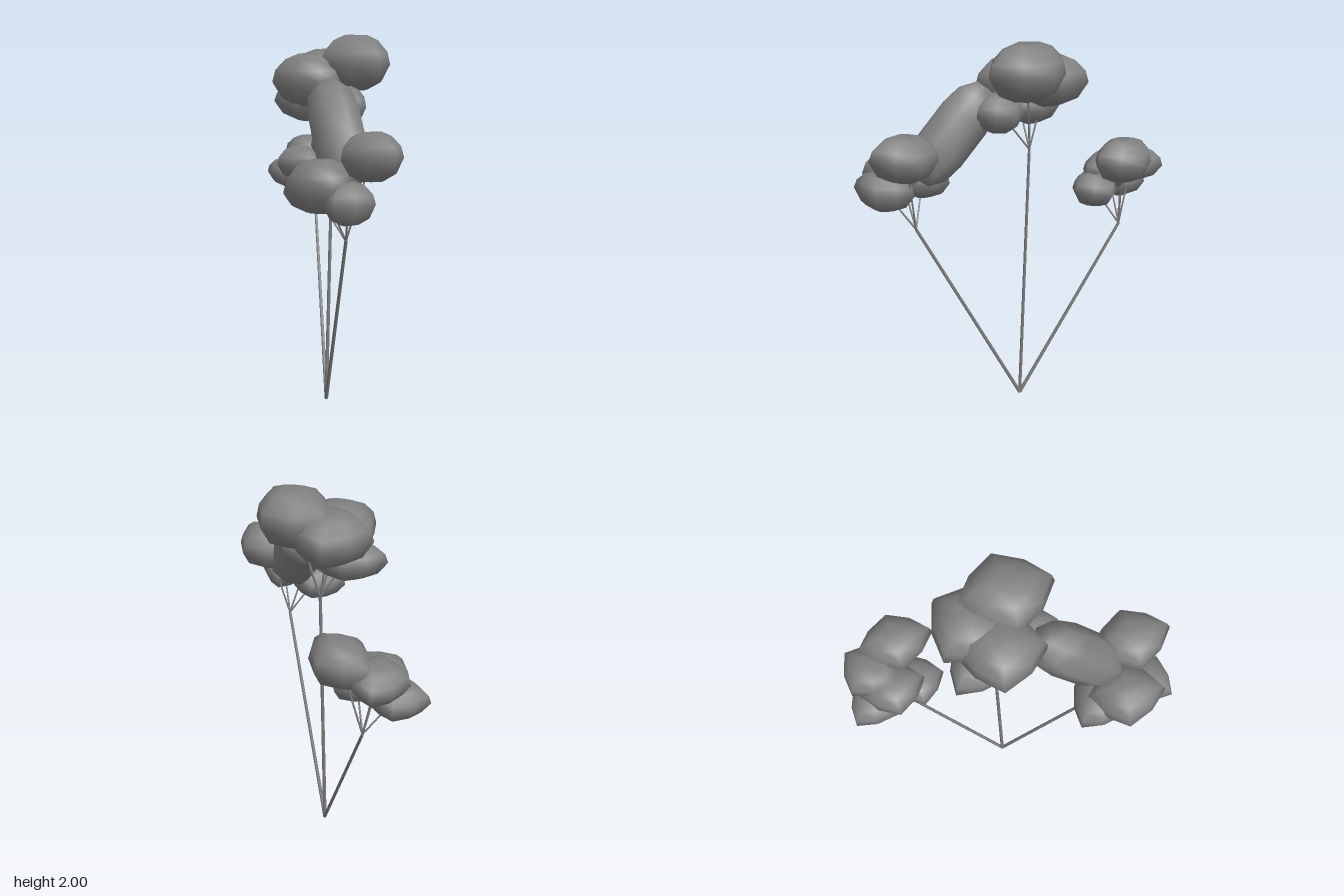
import * as THREE from 'three';
import { mergeVertices } from 'three/addons/utils/BufferGeometryUtils.js';

const UP = new THREE.Vector3(0, 1, 0);

// Eight-sided smooth lump with four pronounced corners, from a half profile [radius, height]
function lump(profile, dip) {
  let geo = new THREE.LatheGeometry(profile.map(([r, y]) => new THREE.Vector2(r, y)), 8);
  const p = geo.attributes.position;
  for (let i = 0; i < p.count; i++) {
    const side = Math.round(Math.atan2(p.getX(i), p.getZ(i)) / (Math.PI / 4));
    const k = side % 2 ? dip : 1;
    p.setXYZ(i, p.getX(i) * k, p.getY(i), p.getZ(i) * k);
  }
  geo.deleteAttribute('uv');
  geo.deleteAttribute('normal');
  geo = mergeVertices(geo, 1e-4);
  geo.computeVertexNormals();
  return geo;
}

const padProfile = [[0, -0.92], [0.35, -1], [0.75, -0.7], [1, -0.05], [0.92, 0.4], [0.66, 0.8], [0.33, 1], [0, 0.9]];
const linkProfile = [[0, -1], [0.48, -0.97], [0.87, -0.72], [1, -0.35], [1, 0.35], [0.87, 0.72], [0.48, 0.97], [0, 1]];

// Each stem ends in a fork that carries foliage pads:
// [centre x, y, z, radius x, y, z, turn about the vertical]
const BASE = [0.01, 0, -0.03];
const DIAG = Math.PI / 4;
const CLUSTERS = [
  { name: 'front', fork: [-0.11, 1.08, 0.52], tilt: -0.12, pads: [
    [-0.02, 1.485, 0.6, 0.16, 0.11, 0.2, 0.1],
    [-0.24, 1.355, 0.535, 0.165, 0.12, 0.195, -0.1],
    [-0.16, 1.295, 0.66, 0.158, 0.095, 0.13, DIAG],
    [-0.225, 1.3, 0.415, 0.145, 0.09, 0.165, DIAG]] },
  { name: 'middle', fork: [0.055, 1.45, -0.055], tilt: 0, pads: [
    [0.15, 1.865, 0.02, 0.2, 0.135, 0.235, 0.12],
    [-0.07, 1.78, -0.04, 0.2, 0.13, 0.21, -0.12],
    [0.05, 1.66, 0.115, 0.125, 0.095, 0.145, 0.12],
    [0.065, 1.8, -0.15, 0.21, 0.125, 0.21, DIAG],
    [-0.05, 1.66, -0.13, 0.15, 0.095, 0.2, DIAG]] },
  { name: 'back', fork: [0.16, 0.975, -0.58], tilt: -0.04, pads: [
    [0.25, 1.37, -0.515, 0.15, 0.11, 0.195, 0.12],
    [0.15, 1.31, -0.66, 0.165, 0.09, 0.155, DIAG],
    [0.105, 1.185, -0.445, 0.14, 0.088, 0.14, 0.12],
    [0.04, 1.185, -0.67, 0.14, 0.085, 0.16, DIAG],
    [0.06, 1.26, -0.57, 0.15, 0.095, 0.17, 0.12]] },
];

export function createModel() {
  const model = new THREE.Group();
  model.name = 'tree';
  const grey = new THREE.MeshStandardMaterial({ color: 0x808080 });
  grey.name = 'grey';
  const padGeo = lump(padProfile, 0.84);

  const add = (parent, name, geo) => {
    const mesh = new THREE.Mesh(geo, grey);
    mesh.name = name;
    parent.add(mesh);
    return mesh;
  };

  // Tapered rod between two points
  const rod = (parent, name, from, to, r0, r1) => {
    const a = new THREE.Vector3(...from), b = new THREE.Vector3(...to);
    const mesh = add(parent, name, new THREE.CylinderGeometry(r1, r0, a.distanceTo(b), 6));
    mesh.position.copy(a).lerp(b, 0.5);
    mesh.quaternion.setFromUnitVectors(UP, b.sub(a).normalize());
  };

  for (const { name, fork, tilt, pads } of CLUSTERS) {
    const cluster = new THREE.Group();
    cluster.name = name + 'Branch';
    model.add(cluster);
    rod(cluster, 'stem', BASE, fork, 0.01, 0.008);
    for (const [x, y, z, rx, ry, rz, turn] of pads) {
      rod(cluster, 'twig', fork, [x, y, z], 0.005, 0.004);
      const pad = add(cluster, 'foliagePad', padGeo);
      pad.position.set(x, y, z);
      pad.scale.set(rx, ry, rz);
      pad.rotation.set(tilt, turn, 0);
    }
  }

  // Long leaning foliage lump joining the front and middle clusters
  const link = add(model, 'longFoliage', lump(linkProfile, 0.95));
  link.position.set(-0.07, 1.555, 0.32);
  link.scale.set(0.135, 0.285, 0.145);
  link.quaternion.setFromUnitVectors(UP, new THREE.Vector3(0.08, 0.74, -0.67).normalize());

  return model;
}
